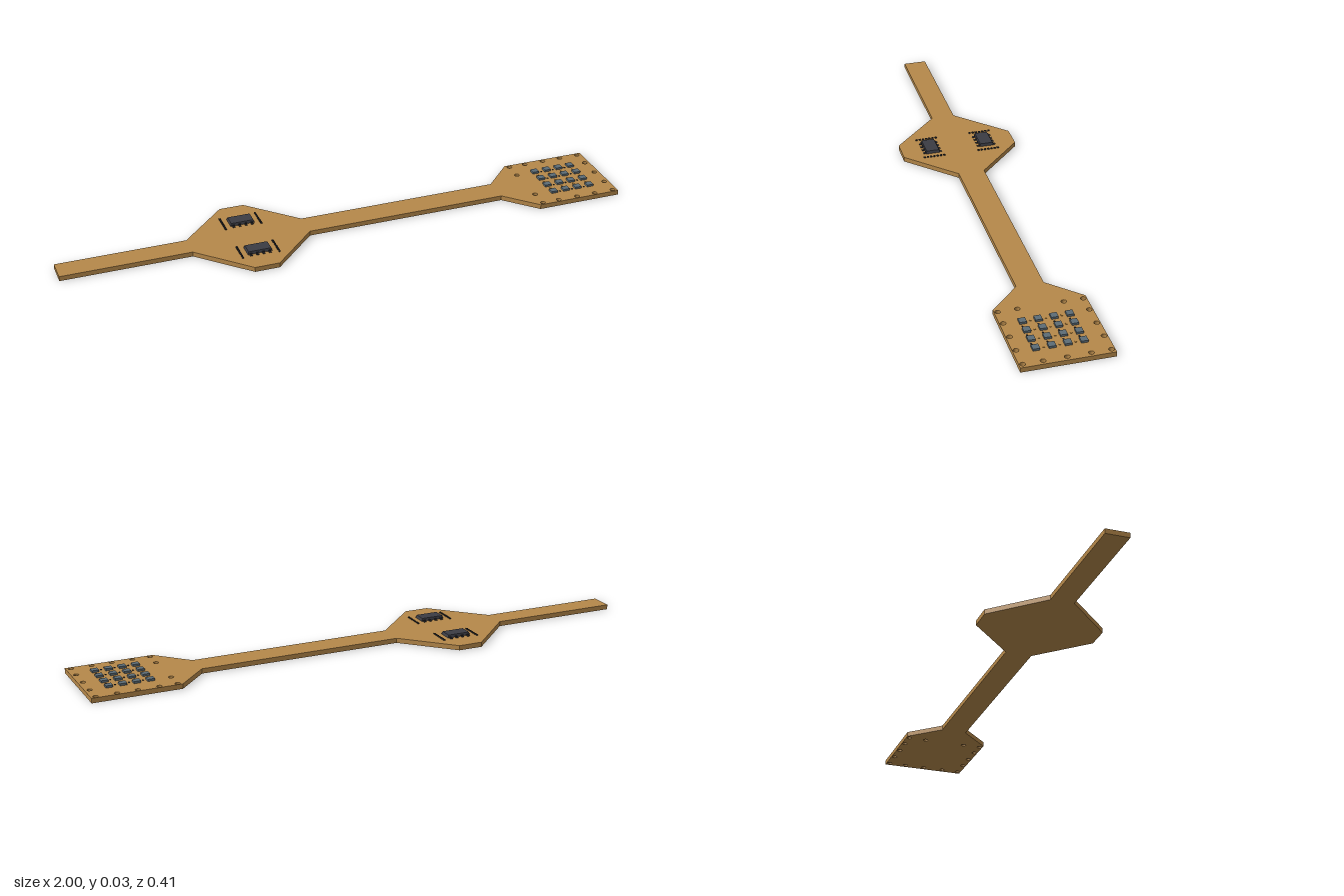
import * as THREE from 'three';

const material = (name, color) => {
  const m = new THREE.MeshStandardMaterial({ color });
  m.name = name;
  return m;
};

export function createModel() {
  const model = new THREE.Group();
  model.name = 'circuitBoard';
  const tan = material('amber board', 0xb5884a);
  const dark = material('charcoal', 0x3b3c44);
  const slate = material('slate', 0x5c6c76);
  const black = material('dark contact', 0x2c2c30);
  const copper = material('copper', 0xc08a3e);
  const TOP = 0.017;

  const box = (parent, name, mat, w, h, d, x, y, z) => {
    const mesh = new THREE.Mesh(new THREE.BoxGeometry(w, h, d), mat);
    mesh.name = name;
    mesh.position.set(x, y + h / 2, z);
    parent.add(mesh);
    return mesh;
  };

  // Board: half outline mirrored about the long axis
  const half = [
    [-1, 0.041], [-0.545, 0.041], [-0.378, 0.207], [-0.292, 0.207],
    [-0.13, 0.046], [0.59, 0.046], [0.694, 0.152], [1, 0.152],
  ];
  const outline = [
    ...half.map(([x, z]) => new THREE.Vector2(x, -z)),
    ...half.slice().reverse().map(([x, z]) => new THREE.Vector2(x, z)),
  ];
  const shape = new THREE.Shape(outline);

  // Mounting holes around the sensor end
  const holes = [];
  for (const s of [-1, 1]) {
    for (const x of [0.708, 0.77, 0.842, 0.912, 0.983]) holes.push([x, s * 0.14]);
    for (const x of [0.708, 0.983]) holes.push([x, s * 0.076]);
  }
  holes.push([0.983, 0]);
  for (const [x, y] of holes) {
    const hole = new THREE.Path();
    hole.absarc(x, y, 0.009, 0, Math.PI * 2, true);
    shape.holes.push(hole);
  }
  const boardGeo = new THREE.ExtrudeGeometry(shape, { depth: TOP, bevelEnabled: false, curveSegments: 8 });
  boardGeo.rotateX(-Math.PI / 2);
  const board = new THREE.Mesh(boardGeo, tan);
  board.name = 'board';
  model.add(board);

  // Two chips with legs, each flanked by rows of small contacts
  for (const s of [-1, 1]) {
    const chip = new THREE.Group();
    chip.name = s > 0 ? 'frontChip' : 'backChip';
    chip.position.set(-0.334, TOP, s * 0.1);
    model.add(chip);

    // Body tapers towards its top
    const body = box(chip, 'chipBody', dark, 0.086, 0.01, 0.05, 0, 0.0015, 0);
    const p = body.geometry.attributes.position;
    for (let i = 0; i < p.count; i++) {
      if (p.getY(i) > 0) p.setXYZ(i, p.getX(i) * 0.93, p.getY(i), p.getZ(i) * 0.9);
    }
    body.geometry.computeVertexNormals();

    for (const side of [-1, 1]) {
      for (let i = 0; i < 4; i++) {
        const x = -0.033 + i * 0.022;
        box(chip, 'chipLegFoot', black, 0.009, 0.002, 0.012, x, 0, side * 0.028);
        box(chip, 'chipLegRiser', black, 0.009, 0.006, 0.003, x, 0, side * 0.0255);
      }
      for (let i = 0; i < 7; i++) {
        box(chip, 'contact', black, 0.006, 0.0035, 0.007, side * 0.064, 0, -0.036 + i * 0.012);
      }
    }
  }

  // Four by four sensor array
  const sensors = new THREE.Group();
  sensors.name = 'sensorArray';
  model.add(sensors);
  for (let i = 0; i < 4; i++) {
    for (let j = 0; j < 4; j++) {
      const x = 0.778 + i * 0.047, z = -0.073 + j * 0.0513;
      box(sensors, 'sensor', slate, 0.024, 0.0075, 0.023, x, TOP, z);
      // Small solder points beside each sensor
      if (i < 3) box(sensors, 'solderPoint', black, 0.005, 0.002, 0.005, x + 0.0235, TOP, z + 0.006);
      if (j < 3) box(sensors, 'solderPoint', copper, 0.006, 0.002, 0.006, x, TOP, z + 0.0256);
    }
  }
  return model;
}
